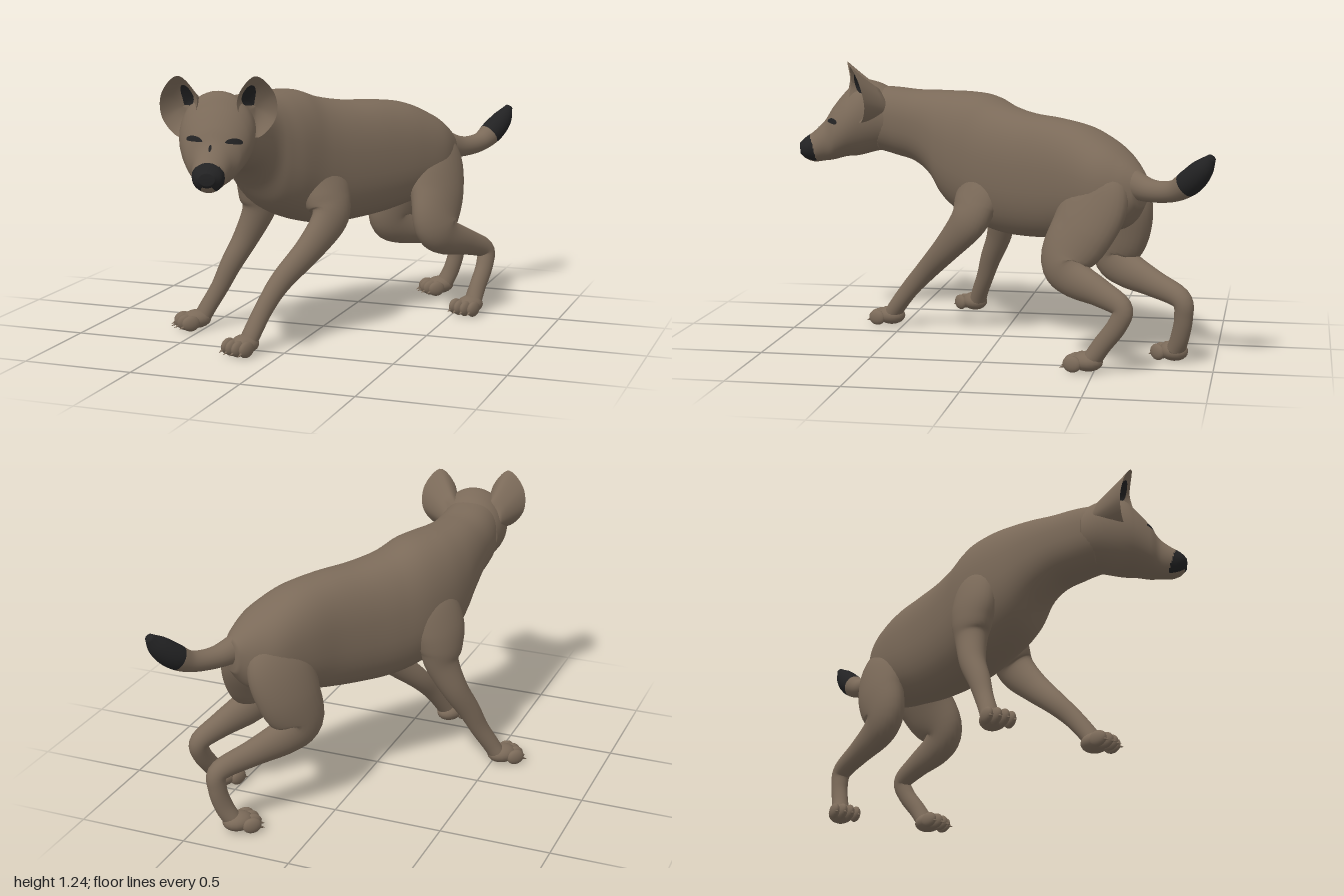
import * as THREE from 'three';

const fur = new THREE.MeshStandardMaterial({ color: 0x7b6a59, side: THREE.DoubleSide });
fur.name = 'brown fur';
const dark = new THREE.MeshStandardMaterial({ color: 0x222223, side: THREE.DoubleSide });
dark.name = 'black markings';

const V = (x, y, z) => new THREE.Vector3(x, y, z);
const LATERAL = V(0.83, 0, 0.56); // sideways axis of the trunk
const bulge = (v, power) => Math.sign(v) * Math.abs(v) ** power;

// Smooth oval tube through stations [x, y, z, halfWidth, halfDepth]; power below 1 makes it boxier
function ovalTube(stations, { lateral = LATERAL, upright = false, power = 1 } = {}) {
  const path = new THREE.CatmullRomCurve3(stations.map(s => V(s[0], s[1], s[2])), false, 'catmullrom', 0.5);
  const size = new THREE.CatmullRomCurve3(stations.map(s => V(s[3], s[4], 0)), false, 'catmullrom', 0.5);
  return (u, turn, inflate = 0, scale = 1) => {
    const t = path.getTangent(u);
    if (upright) t.setY(0).normalize();
    const up = t.clone().cross(lateral).normalize();
    const side = up.clone().cross(t).normalize();
    const s = size.getPoint(u), a = turn * Math.PI * 2;
    return path.getPoint(u)
      .addScaledVector(side, (s.x + inflate) * bulge(Math.cos(a), power) * scale)
      .addScaledVector(up, (s.y + inflate) * bulge(Math.sin(a), power) * scale);
  };
}

// Closed skin over a tube; cells where isDark(u, turn) holds take the dark material
function skin(name, sample, { rings = 56, sides = 28, isDark = () => false } = {}) {
  const pos = [], plain = [], marked = [];
  for (let i = -1; i <= rings + 1; i++) {
    const u = Math.min(1, Math.max(0, i / rings));
    const scale = i < 0 || i > rings ? 0 : 1;
    for (let j = 0; j < sides; j++) pos.push(...sample(u, j / sides, 0, scale).toArray());
  }
  for (let i = 0; i < rings + 2; i++) {
    for (let j = 0; j < sides; j++) {
      const k = (j + 1) % sides, a = i * sides, b = a + sides;
      const list = isDark((i - 0.5) / rings, (j + 0.5) / sides) ? marked : plain;
      list.push(a + j, a + k, b + j, a + k, b + k, b + j);
    }
  }
  const g = new THREE.BufferGeometry();
  g.setAttribute('position', new THREE.Float32BufferAttribute(pos, 3));
  g.setIndex([...plain, ...marked]);
  g.computeVertexNormals();
  g.addGroup(0, plain.length, 0);
  g.addGroup(plain.length, marked.length, 1);
  const m = new THREE.Mesh(g, [fur, dark]);
  m.name = name;
  return m;
}

// Disc whose points are moved by a rule (x, y) -> Vector3
function mappedDisc(name, material, rule) {
  const g = new THREE.RingGeometry(0, 1, 40, 8);
  const p = g.attributes.position;
  for (let i = 0; i < p.count; i++) p.setXYZ(i, ...rule(p.getX(i), p.getY(i)).toArray());
  g.computeVertexNormals();
  const m = new THREE.Mesh(g, material);
  m.name = name;
  return m;
}

// Thin oval marking laid on a sampled surface; skew slants it along u
const marking = (name, sample, cu, cv, ru, rv, inflate, skew = 0) => mappedDisc(name, dark,
  (x, y) => sample(cu + x * ru + y * skew, cv + y * rv, inflate));

// Trunk and head profiles: [x, z, top, bottom, halfWidth]
const profile = rows => rows.map(([x, z, t, b, w]) => [x, (t + b) / 2, z, w, (t - b) / 2]);

function ball(name, x, y, z, sx, sy, sz) {
  const m = new THREE.Mesh(new THREE.SphereGeometry(1, 18, 12), fur);
  m.name = name;
  m.position.set(x, y, z);
  m.scale.set(sx, sy, sz);
  return m;
}

function paw(name, x, z, yaw) {
  const g = new THREE.Group();
  g.name = name;
  g.position.set(x, 0, z);
  g.rotation.y = yaw;
  g.add(ball('pad', 0, 0.053, 0.015, 0.058, 0.043, 0.07));
  for (let i = -1.5; i <= 1.5; i++) {
    const tz = 0.08 - Math.abs(i) * 0.012;
    g.add(ball('toe', i * 0.035, 0.045, tz, 0.021, 0.036, 0.043));
    const claw = new THREE.Mesh(new THREE.ConeGeometry(0.008, 0.032, 8), fur);
    claw.name = 'claw';
    claw.position.set(i * 0.037, 0.03, tz + 0.045);
    claw.rotation.x = 1.95;
    g.add(claw);
  }
  return g;
}

// Ear: a shallow bowl inside a closed rim, and a back that tapers into the neck
const earRim = new THREE.CatmullRomCurve3([
  V(0.09, 1.17, 0.04), V(0.163, 1.248, 0.049), V(0.238, 1.17, 0.01),
  V(0.238, 1.06, -0.013), V(0.16, 0.985, 0.007), V(0.095, 1.08, 0.05),
], true, 'catmullrom', 0.5);
const earMiddle = V(0.165, 1.11, 0.025), earRoot = V(0.08, 1.05, -0.13);
const rimOffset = turn => earRim.getPoint(((turn % 1) + 1) % 1).sub(earMiddle);
const earBowl = (turn, s, lift = 0) => rimOffset(turn).multiplyScalar(s).add(earMiddle)
  .add(V(-0.012, 0, -0.06).multiplyScalar(1 - s * s)).add(V(0, 0, lift));
const earBack = (turn, s) => rimOffset(turn).multiplyScalar(0.5 + 0.5 * s)
  .add(earRoot.clone().lerp(earMiddle, s ** 0.8));

function ear(name, mirror) {
  const g = new THREE.Group();
  g.name = name;
  g.scale.x = mirror;
  const polar = sample => (x, y) => sample(-Math.atan2(y, x) / (Math.PI * 2), Math.hypot(x, y));
  g.add(mappedDisc('ear bowl', fur, polar(earBowl)), mappedDisc('ear back', fur, polar(earBack)));
  g.add(marking('inner ear', earBowl, 0.05, 0.46, 0.13, 0.36, 0.008));
  return g;
}

export function createModel() {
  const model = new THREE.Group();
  model.name = 'prowling animal';

  // Trunk and neck
  model.add(skin('trunk', ovalTube(profile([
    [0.405, -0.68, 0.84, 0.70, 0.055], [0.37, -0.62, 0.90, 0.61, 0.115], [0.32, -0.54, 0.96, 0.57, 0.162],
    [0.24, -0.42, 1.02, 0.54, 0.173], [0.15, -0.28, 1.045, 0.51, 0.17], [0.05, -0.14, 1.055, 0.495, 0.175],
    [-0.04, -0.02, 1.08, 0.495, 0.185], [-0.11, 0.08, 1.12, 0.52, 0.196], [-0.16, 0.18, 1.13, 0.56, 0.196],
    [-0.195, 0.27, 1.13, 0.62, 0.18], [-0.215, 0.35, 1.13, 0.72, 0.16], [-0.225, 0.44, 1.13, 0.79, 0.148],
    [-0.23, 0.54, 1.14, 0.82, 0.145], [-0.225, 0.63, 1.145, 0.845, 0.14],
  ]), { upright: true, power: 0.87 }), { rings: 78, sides: 40 }));

  // Head: the dark muzzle tip slants back towards the mouth and leaves the chin brown
  const head = ovalTube(profile([
    [-0.235, 0.56, 1.13, 0.85, 0.14], [-0.225, 0.64, 1.165, 0.835, 0.155], [-0.21, 0.72, 1.175, 0.815, 0.16],
    [-0.195, 0.78, 1.12, 0.81, 0.15], [-0.18, 0.84, 1.045, 0.795, 0.12], [-0.17, 0.88, 0.98, 0.79, 0.086],
    [-0.16, 0.93, 0.93, 0.785, 0.07], [-0.148, 0.97, 0.90, 0.80, 0.06], [-0.14, 0.995, 0.875, 0.825, 0.032],
  ]), { lateral: V(0.957, 0, -0.29), upright: true });
  model.add(skin('head', head, {
    rings: 80, sides: 40,
    isDark: (u, turn) => u * 8 > 6.15 + 0.4 * Math.sin(turn * Math.PI * 2) && (Math.abs(turn - 0.75) > 0.07 || u > 0.95),
  }));
  model.add(marking('leftEye', head, 0.525, 0.105, 0.024, 0.05, 0.004, 0.055));
  model.add(marking('rightEye', head, 0.54, 0.365, 0.024, 0.052, 0.004, -0.055));
  model.add(marking('bridgeMark', head, 0.67, 0.25, 0.03, 0.012, 0.004));

  const ears = new THREE.Group();
  ears.name = 'ears';
  ears.position.set(-0.205, 0, 0.72);
  ears.rotation.y = 0.295;
  ears.add(ear('leftEar', 1), ear('rightEar', -1));
  model.add(ears);

  // Tail with dark tip
  model.add(skin('tail', ovalTube([
    [0.38, 0.80, -0.62, 0.06, 0.07], [0.45, 0.775, -0.72, 0.048, 0.05], [0.515, 0.785, -0.82, 0.045, 0.046],
    [0.56, 0.83, -0.89, 0.054, 0.056], [0.60, 0.89, -0.945, 0.044, 0.048], [0.622, 0.945, -0.985, 0.018, 0.018],
  ]), { rings: 40, sides: 20, isDark: u => u > 0.55 }));

  // Legs, from shoulder or hip down to the ankle
  const legs = {
    leftFrontLeg: [[-0.02, 0.93, 0.06, 0.04, 0.07], [-0.005, 0.83, 0.065, 0.065, 0.12], [0.022, 0.72, 0.085, 0.077, 0.135],
      [0.06, 0.63, 0.11, 0.074, 0.12], [0.082, 0.55, 0.145, 0.064, 0.092], [0.025, 0.43, 0.245, 0.055, 0.068],
      [-0.065, 0.3, 0.365, 0.046, 0.052], [-0.107, 0.2, 0.455, 0.038, 0.044], [-0.137, 0.1, 0.53, 0.042, 0.04],
      [-0.15, 0.055, 0.555, 0.044, 0.038]],
    rightFrontLeg: [[-0.22, 0.92, 0.05, 0.04, 0.07], [-0.25, 0.83, 0.055, 0.07, 0.12], [-0.28, 0.72, 0.055, 0.08, 0.13],
      [-0.293, 0.63, 0.05, 0.077, 0.11], [-0.3, 0.55, 0.05, 0.066, 0.082], [-0.355, 0.42, 0.075, 0.056, 0.062],
      [-0.41, 0.3, 0.125, 0.046, 0.052], [-0.45, 0.2, 0.16, 0.038, 0.044], [-0.495, 0.11, 0.195, 0.04, 0.04],
      [-0.52, 0.06, 0.21, 0.044, 0.038]],
    leftHindLeg: [[0.325, 0.88, -0.5, 0.04, 0.07], [0.355, 0.81, -0.495, 0.07, 0.13], [0.387, 0.71, -0.48, 0.086, 0.165],
      [0.415, 0.58, -0.42, 0.086, 0.155], [0.435, 0.46, -0.35, 0.075, 0.12], [0.47, 0.395, -0.39, 0.066, 0.09],
      [0.545, 0.345, -0.52, 0.052, 0.062], [0.605, 0.295, -0.62, 0.042, 0.047], [0.61, 0.22, -0.6, 0.038, 0.044],
      [0.595, 0.13, -0.535, 0.037, 0.042], [0.583, 0.06, -0.49, 0.044, 0.04]],
    rightHindLeg: [[0.28, 0.87, -0.55, 0.04, 0.07], [0.255, 0.8, -0.565, 0.07, 0.12], [0.22, 0.7, -0.58, 0.085, 0.155],
      [0.18, 0.57, -0.57, 0.085, 0.15], [0.15, 0.45, -0.54, 0.075, 0.12], [0.19, 0.39, -0.59, 0.066, 0.09],
      [0.29, 0.345, -0.72, 0.052, 0.062], [0.39, 0.3, -0.85, 0.044, 0.047], [0.395, 0.22, -0.865, 0.038, 0.042],
      [0.375, 0.13, -0.85, 0.037, 0.042], [0.345, 0.06, -0.83, 0.044, 0.04]],
  };
  for (const [name, stations] of Object.entries(legs)) model.add(skin(name, ovalTube(stations)));

  // Paws
  model.add(paw('leftFrontPaw', -0.155, 0.55, -0.35), paw('rightFrontPaw', -0.53, 0.22, -0.8));
  model.add(paw('leftHindPaw', 0.58, -0.485, -0.35), paw('rightHindPaw', 0.335, -0.83, -0.8));
  return model;
}
